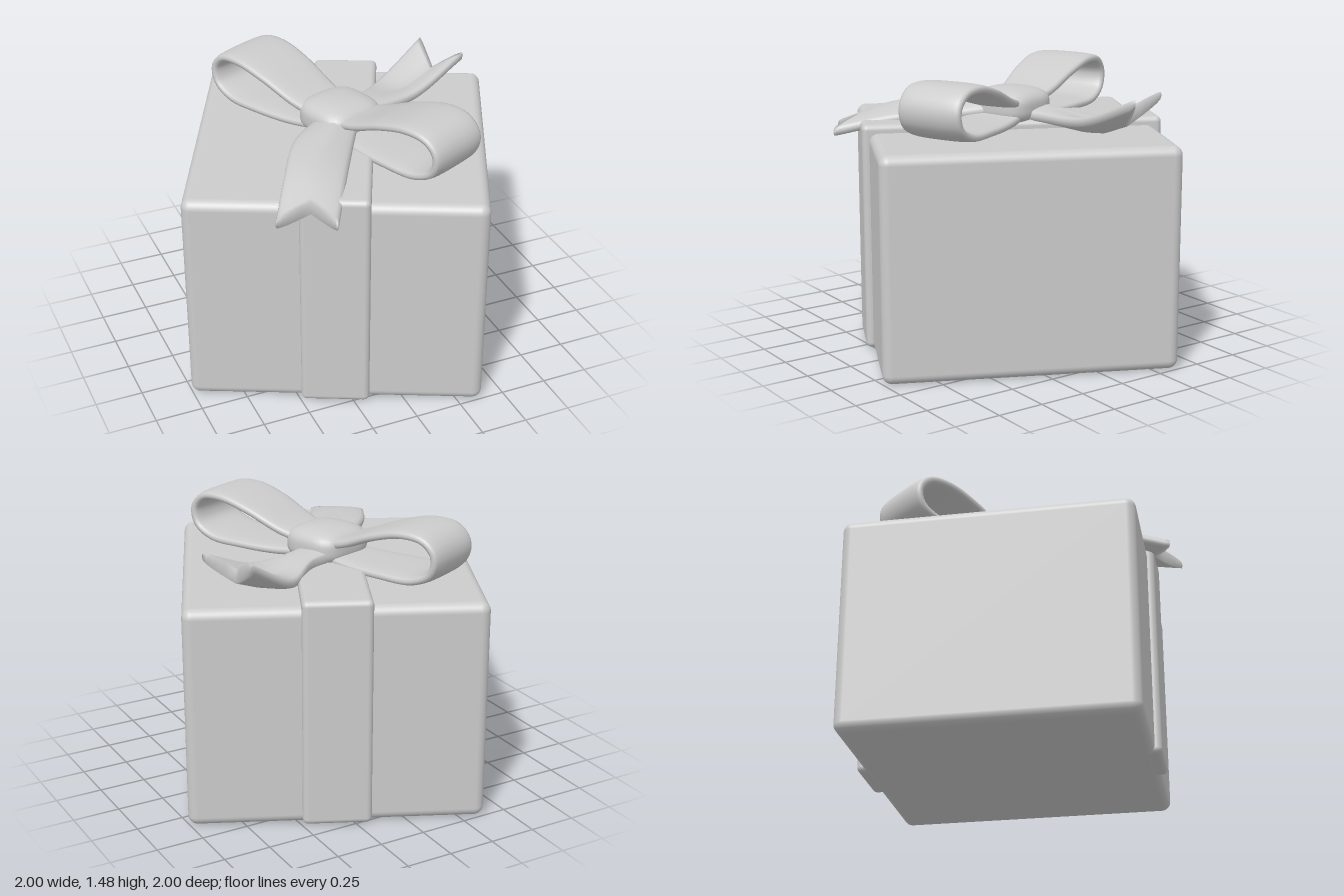
import * as THREE from 'three';
import { RoundedBoxGeometry } from 'three/addons/geometries/RoundedBoxGeometry.js';

const material = new THREE.MeshStandardMaterial({ color: 0xcccccc });
const RING = 24;
const V = (x, y, z) => new THREE.Vector3(x, y, z);
const curve = (points) => new THREE.CatmullRomCurve3(points.map((p) => V(...p)));
const soft = (v, power) => Math.sign(v) * Math.abs(v) ** power;

function addMesh(parent, name, geometry) {
  const mesh = new THREE.Mesh(geometry, material);
  mesh.name = name;
  parent.add(mesh);
  return mesh;
}

// Closed loft: pointAt(t, s, h) with s across the ribbon and h through its thickness, both -1..1
function loft(steps, pointAt) {
  const positions = [], index = [];
  for (let i = 0; i <= steps; i++) {
    for (let j = 0; j < RING; j++) {
      const a = (j / RING) * Math.PI * 2;
      const p = pointAt(i / steps, soft(Math.cos(a), 0.75), soft(Math.sin(a), 0.5));
      positions.push(p.x, p.y, p.z);
    }
  }
  for (let i = 0; i < steps; i++) {
    for (let j = 0; j < RING; j++) {
      const k = (j + 1) % RING;
      const a = i * RING + j, b = i * RING + k;
      index.push(a, b, a + RING, b, b + RING, a + RING);
    }
  }
  // End caps, joined straight from upper to lower skin
  const last = steps * RING;
  for (let j = 0; j < RING / 2; j++) {
    const a = j, b = j + 1, c = RING - j - 1, d = (RING - j) % RING;
    if (b !== c) index.push(last + a, last + b, last + c, a, c, b);
    if (d !== a) index.push(last + a, last + c, last + d, a, d, c);
  }
  const geometry = new THREE.BufferGeometry();
  geometry.setAttribute('position', new THREE.Float32BufferAttribute(positions, 3));
  geometry.setIndex(index);
  geometry.computeVertexNormals();
  return geometry;
}

// Bow loop running out along +z and folding back over itself
function loopGeometry() {
  const path = curve([
    [0, 1.25, 0], [0, 1.22, 0.2], [0, 1.215, 0.45], [0, 1.225, 0.65], [0, 1.28, 0.75],
    [0, 1.37, 0.77], [0, 1.44, 0.71], [0, 1.455, 0.58], [0, 1.41, 0.4], [0, 1.33, 0.2], [0, 1.28, 0],
  ]);
  const across = V(1, 0, 0);
  return loft(64, (t, s, h) => {
    const p = path.getPointAt(t);
    const normal = path.getTangentAt(t).cross(across);
    const width = 0.25 + 0.12 * Math.sin(Math.min(p.z / 0.6, 1.25) * Math.PI / 2);
    return p.addScaledVector(across, s * width / 2).addScaledVector(normal, h * 0.028);
  });
}

// Notched ribbon tail spanned between two edge curves and a shorter middle curve
function tailGeometry(edgeA, middle, edgeB, thickness) {
  const [a, m, b] = [edgeA, middle, edgeB].map(curve);
  return loft(32, (t, s, h) => {
    const edge = (s < 0 ? a : b).getPoint(t);
    const p = m.getPoint(t).lerp(edge, Math.abs(s) ** 1.25);
    p.y += h * thickness;
    return p;
  });
}

export function createModel() {
  const model = new THREE.Group();
  model.name = 'giftBox';

  // Box and the single band around it, turned about the vertical
  const parcel = new THREE.Group();
  parcel.name = 'parcel';
  parcel.rotation.y = -0.442;
  model.add(parcel);
  addMesh(parcel, 'box', new RoundedBoxGeometry(1.526, 1.175, 1.526, 5, 0.05)).position.y = 0.5875;
  addMesh(parcel, 'ribbonBand', new RoundedBoxGeometry(0.355, 1.215, 1.6, 5, 0.03)).position.y = 0.6125;

  // Bow
  const bow = new THREE.Group();
  bow.name = 'bow';
  model.add(bow);
  const loop = loopGeometry();
  addMesh(bow, 'frontLoop', loop).rotation.y = 0.435;
  addMesh(bow, 'backLoop', loop).rotation.y = 0.435 + Math.PI;

  // Tail draped over the front edge
  addMesh(bow, 'frontTail', tailGeometry(
    [[-0.12, 1.26, -0.02], [-0.35, 1.275, 0.2], [-0.5, 1.24, 0.45], [-0.64, 1.14, 0.69]],
    [[-0.04, 1.3, 0.08], [-0.2, 1.28, 0.28], [-0.36, 1.25, 0.48], [-0.45, 1.19, 0.68]],
    [[0.03, 1.26, 0.15], [-0.06, 1.24, 0.3], [-0.22, 1.22, 0.58], [-0.38, 1.16, 0.86]],
    0.036,
  ));
  // Tail curling up at the back
  addMesh(bow, 'backTail', tailGeometry(
    [[0.1, 1.25, 0.03], [0.24, 1.24, -0.03], [0.5, 1.25, -0.1], [0.82, 1.38, -0.2]],
    [[0.08, 1.26, -0.1], [0.25, 1.23, -0.17], [0.45, 1.2, -0.23], [0.67, 1.27, -0.27]],
    [[0.05, 1.25, -0.18], [0.2, 1.24, -0.22], [0.4, 1.22, -0.38], [0.69, 1.38, -0.48]],
    0.038,
  ));

  // Knot: a squared-off dome
  const knotShape = new THREE.SphereGeometry(1, 40, 24);
  const pos = knotShape.attributes.position;
  for (let i = 0; i < pos.count; i++) {
    const p = V(pos.getX(i), pos.getY(i), pos.getZ(i));
    const k = (Math.abs(p.x) ** 3.5 + Math.abs(p.y) ** 3.5 + Math.abs(p.z) ** 3.5) ** (-1 / 3.5);
    const crown = 1 - 0.2 * (p.x * p.x + p.z * p.z);
    pos.setXYZ(i, p.x * k * 0.185, p.y * k * 0.1 * crown, p.z * k * 0.18);
  }
  knotShape.computeVertexNormals();
  const knot = addMesh(bow, 'knot', knotShape);
  knot.position.set(0, 1.28, -0.01);
  knot.rotation.y = 0.3;

  return model;
}
